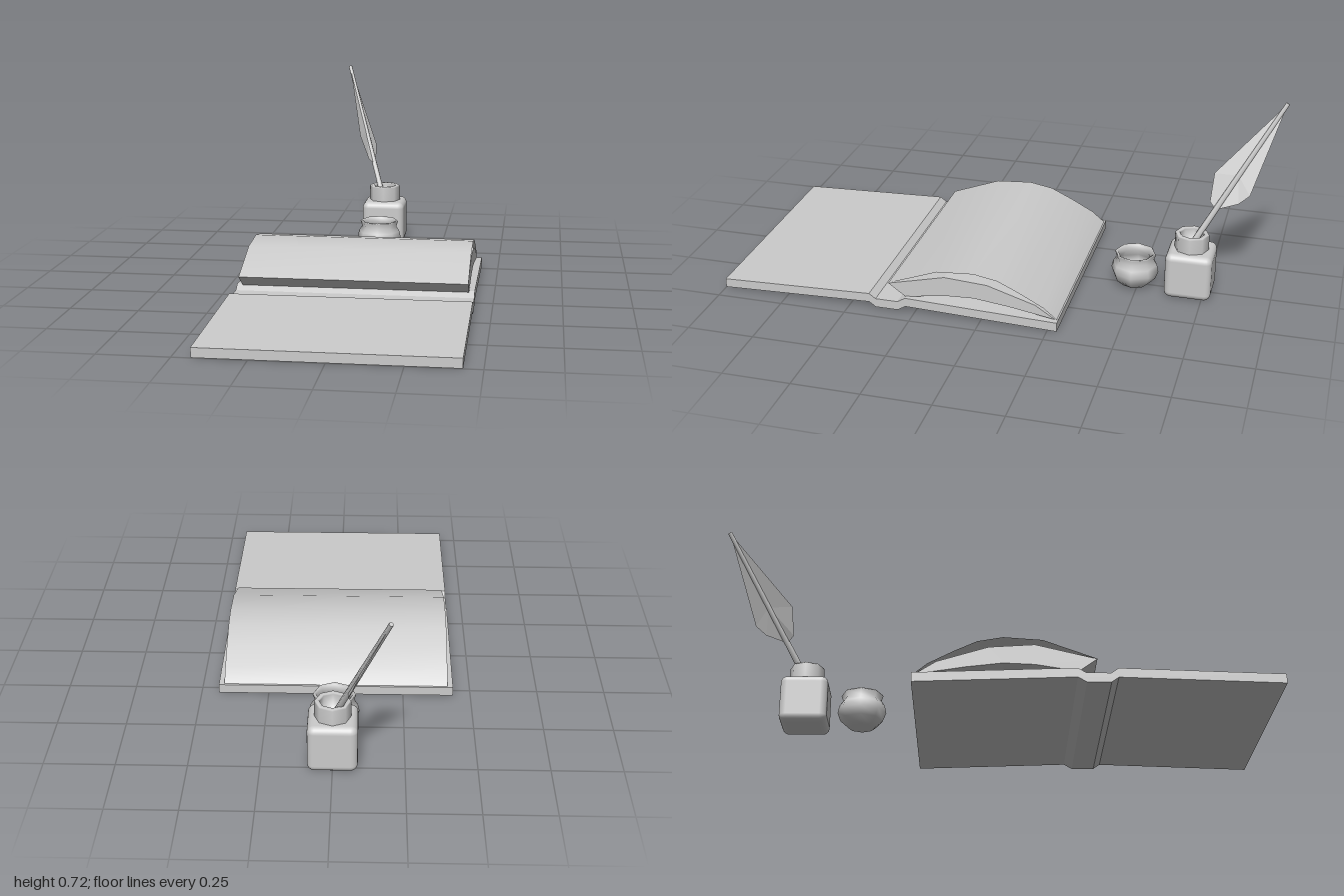
import * as THREE from 'three';
import { RoundedBoxGeometry } from 'three/addons/geometries/RoundedBoxGeometry.js';

const grey = new THREE.MeshStandardMaterial({ color: 0xcccccc });
const thin = new THREE.MeshStandardMaterial({ color: 0xcccccc, side: THREE.DoubleSide });

function add(group, name, geometry, material = grey) {
  const mesh = new THREE.Mesh(geometry, material);
  mesh.name = name;
  group.add(mesh);
  return mesh;
}

// Solid of constant (z, y) profile running across x
function acrossX(profile, width) {
  const shape = new THREE.Shape(profile.map(([z, y]) => new THREE.Vector2(z, y)));
  return new THREE.ExtrudeGeometry(shape, { depth: width, bevelEnabled: false })
    .translate(0, 0, -width / 2)
    .rotateY(-Math.PI / 2);
}

// Eight-sided turned vessel with smooth normals
function turned(profile, z) {
  const points = profile.map(([r, y]) => new THREE.Vector2(r, y));
  return new THREE.LatheGeometry(points, 8).translate(0, 0, z);
}

function buildBook() {
  const book = new THREE.Group();
  book.name = 'book';

  // Both boards and the sunken spine as one bent slab
  const top = [[1, 0.035], [0.425, 0.054], [0.4, 0.036], [0.315, 0.036], [0.285, 0.054], [-0.285, 0.035]];
  const bottom = top.map(([z, y]) => [z, y - 0.034]).reverse();
  add(book, 'cover', acrossX([...top, ...bottom], 0.87));

  // Arched page block
  add(book, 'pageBlock', acrossX([
    [0.29, 0.05], [0.355, 0.097], [0.14, 0.15], [-0.02, 0.14], [-0.2, 0.085], [-0.275, 0.037],
    [-0.1, 0.065], [0.03, 0.08], [0.14, 0.075],
  ], 0.83));

  // Loose top sheet bowed above the block
  const arch = [[-0.28, 0.037], [-0.23, 0.078], [-0.14, 0.125], [-0.06, 0.162],
    [0.03, 0.178], [0.167, 0.168], [0.355, 0.098]];
  const sheet = new THREE.PlaneGeometry(0.83, 1, 1, arch.length - 1);
  const pos = sheet.attributes.position;
  for (let i = 0; i < pos.count; i++) {
    const [z, y] = arch[Math.floor(i / 2)];
    pos.setXYZ(i, pos.getX(i), y, z);
  }
  sheet.computeVertexNormals();
  add(book, 'topSheet', sheet, thin);
  return book;
}

function buildInkwell() {
  const well = new THREE.Group();
  well.name = 'inkwell';
  add(well, 'wellBody', new RoundedBoxGeometry(0.174, 0.178, 0.174, 3, 0.025).translate(0, 0.089, -0.695));
  add(well, 'wellNeck', turned([
    [0.064, 0.17], [0.064, 0.235], [0.061, 0.24], [0.048, 0.24], [0.045, 0.235], [0.045, 0.18], [0, 0.18],
  ], -0.695));
  return well;
}

function buildQuill() {
  const quill = new THREE.Group();
  quill.name = 'quill';
  const foot = new THREE.Vector3(-0.006, 0.18, -0.69);
  const tip = new THREE.Vector3(-0.188, 0.712, -0.992);

  // Tapered shaft
  const dir = tip.clone().sub(foot);
  const shaft = add(quill, 'shaft', new THREE.CylinderGeometry(0.008, 0.012, dir.length(), 6));
  shaft.position.copy(foot).addScaledVector(dir, 0.5);
  shaft.quaternion.setFromUnitVectors(new THREE.Vector3(0, 1, 0), dir.normalize());

  // Two vane halves, each a fan from the foot of the vane to the tip
  const root = foot.clone().lerp(tip, 0.26);
  const sides = {
    frontVane: [[-0.075, 0.34, -0.744], [-0.113, 0.44, -0.75]],
    backVane: [[-0.055, 0.35, -0.85], [-0.06, 0.385, -0.89]],
  };
  for (const [name, edge] of Object.entries(sides)) {
    const [low, wide] = edge.map((p) => new THREE.Vector3(...p));
    const mid = foot.clone().lerp(tip, 0.5);
    const corners = [root, low, mid, low, wide, mid, mid, wide, tip];
    const vane = new THREE.BufferGeometry().setFromPoints(corners);
    vane.computeVertexNormals();
    add(quill, name, vane, thin);
  }
  return quill;
}

export function createModel() {
  const model = new THREE.Group();
  model.name = 'writingSet';
  model.add(buildBook(), buildInkwell(), buildQuill());

  // Round open pot with a flared rim
  add(model, 'pot', turned([
    [0, 0], [0.05, 0.003], [0.078, 0.028], [0.09, 0.06], [0.084, 0.088], [0.071, 0.108], [0.078, 0.128],
    [0.074, 0.133], [0.066, 0.128], [0.06, 0.108], [0.072, 0.085], [0.078, 0.06], [0.06, 0.03], [0, 0.015],
  ], -0.485), thin);
  return model;
}
